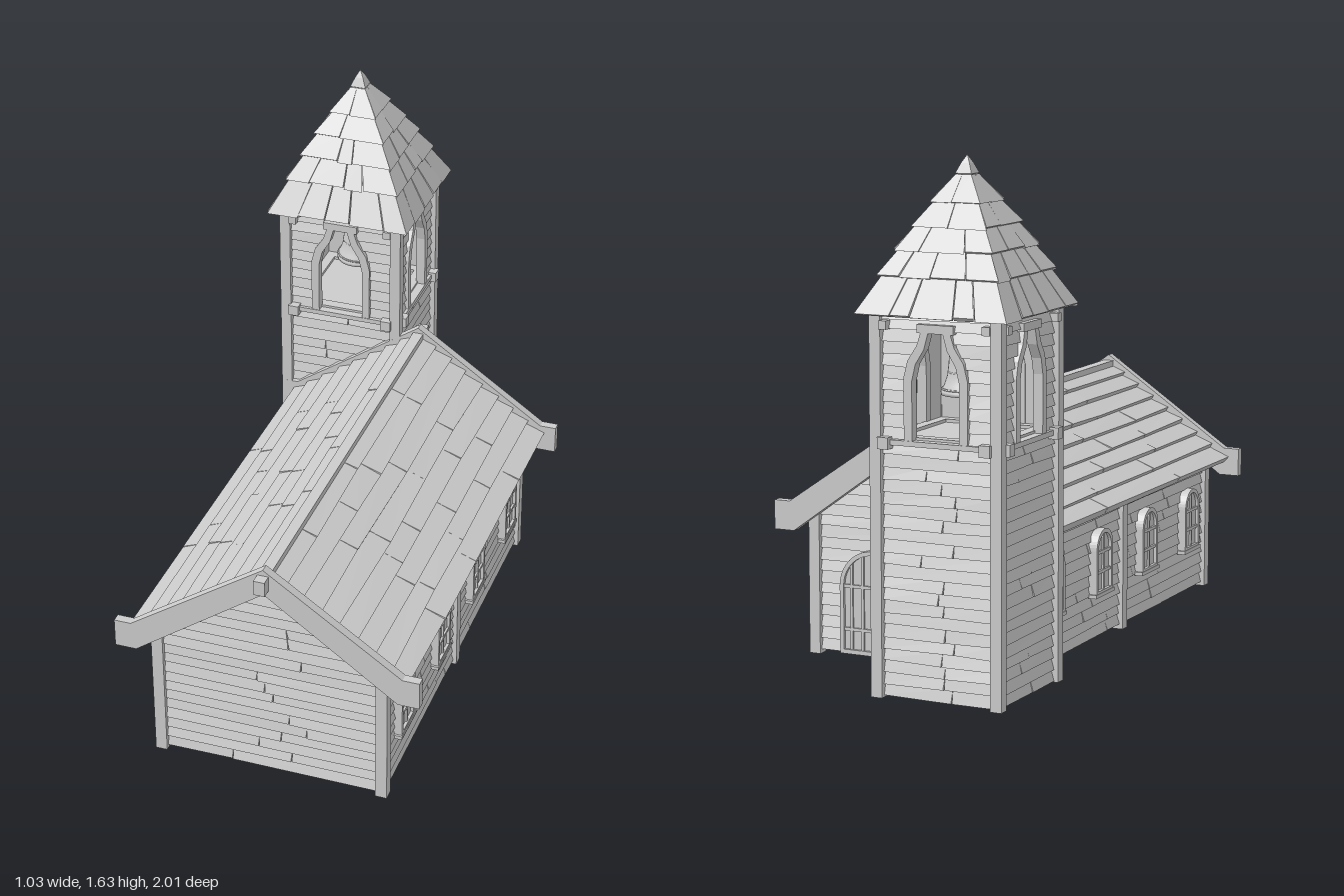
import * as THREE from 'three';
import { mergeGeometries } from 'three/addons/utils/BufferGeometryUtils.js';

const material = new THREE.MeshStandardMaterial({ color: 0xcccccc, flatShading: true, side: THREE.DoubleSide });
const smooth = new THREE.MeshStandardMaterial({ color: 0xcccccc, side: THREE.DoubleSide });
const lerp = THREE.MathUtils.lerp;

let seed = 7;
const rand = () => (seed = (seed * 16807) % 2147483647) / 2147483647;
const jitter = (s) => (rand() - 0.5) * 2 * s;

function add(parent, name, geometry, x = 0, y = 0, z = 0, mat = material) {
  const mesh = new THREE.Mesh(geometry, mat);
  mesh.name = name;
  mesh.position.set(x, y, z);
  parent.add(mesh);
  return mesh;
}
const box = (parent, name, w, h, d, x, y, z) => add(parent, name, new THREE.BoxGeometry(w, h, d), x, y, z);

function subgroup(parent, name, rotationY = 0) {
  const g = new THREE.Group();
  g.name = name;
  g.rotation.y = rotationY;
  parent.add(g);
  return g;
}

// Six-sided block from front and back corners (each: bottom left, bottom right, top right, top left)
function block(front, back) {
  const c = [...front, ...back], pos = [];
  const quads = [[0, 1, 2, 3], [5, 4, 7, 6], [4, 0, 3, 7], [1, 5, 6, 2], [3, 2, 6, 7], [4, 5, 1, 0]];
  for (const [i, j, k, l] of quads) for (const v of [i, j, k, i, k, l]) pos.push(...c[v]);
  const g = new THREE.BufferGeometry();
  g.setAttribute('position', new THREE.Float32BufferAttribute(pos, 3));
  g.computeVertexNormals();
  return g;
}

// Overlapping boards in the local xy plane, facing +z; left and right give the ends at each height
function boards({ y0, y1, rows, left, right, piece = 0.45, thick = 0.014, wave = 0.003 }) {
  const parts = [], h = (y1 - y0) / rows;
  for (let r = 0; r < rows; r++) {
    const a = y0 + r * h, b = Math.min(a + h + 0.005, y1);
    const [l0, r0, l1, r1] = [left(a), right(a), left(b), right(b)];
    const n = Math.max(1, Math.round((r0 - l0) / piece + jitter(0.4)));
    const cuts = [0];
    for (let i = 1; i < n; i++) cuts.push((i + jitter(0.35)) / n);
    cuts.push(1);
    let e = jitter(wave);
    for (let i = 0; i < n; i++) {
      const [f, g] = [cuts[i], cuts[i + 1]];
      const e2 = jitter(wave), t = thick + jitter(0.002), gap = 0.002;
      const bl = lerp(l0, r0, f), br = lerp(l0, r0, g), tl = lerp(l1, r1, f), tr = lerp(l1, r1, g);
      parts.push(block(
        [[bl + gap, a + e, t], [br - gap, a + e2, t], [tr, b, 0.002], [tl, b, 0.002]],
        [[bl, a, -0.008], [br, a, -0.008], [tr, b, -0.008], [tl, b, -0.008]]));
      e = e2;
    }
  }
  return mergeGeometries(parts);
}

function arch(Type, hw, h) {
  const s = new Type();
  s.moveTo(-hw, 0);
  s.lineTo(hw, 0);
  s.lineTo(hw, h - hw);
  s.absarc(0, h - hw, hw, 0, Math.PI, false);
  s.lineTo(-hw, 0);
  return s;
}
const extrude = (shape, depth) => new THREE.ExtrudeGeometry(shape, { depth, bevelEnabled: false, curveSegments: 10 });

// Arched frame with a filled leaf and crossing bars
function archedPanel(parent, name, hw, h, x, y, z, uprights, rails) {
  const g = subgroup(parent, name);
  g.position.set(x, y, z);
  const frame = arch(THREE.Shape, hw, h);
  const hole = arch(THREE.Path, hw - 0.014, h - 0.028);
  frame.holes.push(new THREE.Path(hole.getPoints(10).map((p) => new THREE.Vector2(p.x, p.y + 0.014))));
  add(g, name + 'Frame', extrude(frame, 0.03), 0, 0, -0.005);
  add(g, name + 'Leaf', extrude(arch(THREE.Shape, hw - 0.008, h - 0.008), 0.02), 0, 0, -0.005);
  for (const u of uprights) {
    const top = h - hw + Math.sqrt(hw * hw - u * u) - 0.008;
    box(g, name + 'Upright', 0.009, top, 0.01, u, top / 2, 0.016);
  }
  for (const v of rails) box(g, name + 'Rail', hw * 2 - 0.02, 0.01, 0.01, 0, v, 0.017);
  return g;
}

function buildNave(root) {
  const nave = subgroup(root, 'nave');
  nave.position.set(0.015, 0, 0.195);
  const W = 0.375, L = 0.73, slope = 0.69, tilt = Math.atan(slope);

  for (const s of [1, -1]) {
    // Long wall with its windows
    const side = subgroup(nave, 'sideWall', s * Math.PI / 2);
    add(side, 'sideBoards', boards({ y0: 0.015, y1: 0.48, rows: 13, left: () => -L, right: () => L }), 0, 0, W - 0.012);
    for (const u of [-0.565, -0.19, 0.19, 0.565]) {
      archedPanel(side, 'window', 0.065, 0.215, u, 0.16, W, [0], [0.075, 0.14]);
      box(side, 'windowSill', 0.145, 0.012, 0.03, u, 0.16, W + 0.012);
    }
    for (const u of [-0.727, 0, 0.727]) box(side, 'wallPost', 0.038, 0.47, 0.038, u, 0.235, 0.37);

    // Roof slope of long overlapping planks
    const eave = subgroup(side, 'roofSlope');
    eave.position.set(0, 0.452, 0.45);
    eave.rotation.x = tilt - Math.PI / 2;
    add(eave, 'roofPlanks', boards({
      y0: 0, y1: 0.455 / Math.cos(tilt), rows: 8, left: () => -0.745, right: () => 0.745,
      piece: 0.4, thick: 0.02, wave: 0.005
    }));

    // Gable wall
    const end = subgroup(nave, 'gableEnd', s > 0 ? 0 : Math.PI);
    const half = (y) => Math.max(0.002, Math.min(W, (0.755 - y) / slope));
    add(end, 'gableBoards', boards({ y0: 0.015, y1: 0.75, rows: 20, left: (y) => -half(y), right: half }), 0, 0, L - 0.008);

    // Bargeboards with level, squared ends
    const right = [[0.445, 0.495], [0.5, 0.495], [0.5, 0.4], [0.43, 0.4]];
    const outline = [[0, 0.8], ...right, [0, 0.71], ...right.map(([x, y]) => [-x, y]).reverse()];
    add(end, 'bargeboard', extrude(new THREE.Shape(outline.map((p) => new THREE.Vector2(...p))), 0.03), 0, 0, 0.74);

    // Door in the back gable, beside the tower
    if (s < 0) archedPanel(end, 'door', 0.12, 0.34, -0.15, 0.015, L + 0.005, [-0.08, -0.04, 0, 0.04, 0.08], [0.08, 0.22]);
  }
  box(nave, 'ridgePole', 0.036, 0.05, 1.61, 0, 0.755, 0);
}

// Half of the belfry opening: [half width, height]
const outerCurve = [[0.105, 0.8], [0.105, 0.99], [0.092, 1.04], [0.062, 1.085], [0.047, 1.13]];
const innerCurve = [[0.078, 0.8], [0.078, 0.98], [0.066, 1.03], [0.038, 1.075], [0.024, 1.125]];

function openingHalf(y) {
  const c = outerCurve;
  for (let i = 1; i < c.length; i++) {
    if (y <= c[i][1]) return lerp(c[i - 1][0], c[i][0], Math.max(0, (y - c[i - 1][1]) / (c[i][1] - c[i - 1][1]))) - 0.012;
  }
  return 0.035;
}

function belfryFrame() {
  const mirror = (pts) => pts.map(([x, y]) => [-x, y]);
  const pts = [...mirror(outerCurve), ...[...outerCurve].reverse(), ...innerCurve, ...mirror([...innerCurve].reverse())];
  return extrude(new THREE.Shape(pts.map((p) => new THREE.Vector2(...p))), 0.032);
}

function buildTower(root) {
  const tower = subgroup(root, 'tower');
  tower.position.set(-0.27, 0, -0.763);
  const W = 0.195;

  // [height, half width] of the lower edge of each shingle course
  const courses = [[1.175, 0.25], [1.285, 0.2], [1.36, 0.162], [1.43, 0.125], [1.5, 0.083], [1.565, 0.044]];

  for (let k = 0; k < 4; k++) {
    const side = subgroup(tower, 'towerSide', k * Math.PI / 2);
    const lo = () => -W, hi = () => W;
    add(side, 'lowerBoards', boards({ y0: 0.015, y1: 0.79, rows: 21, left: lo, right: hi, piece: 0.25 }), 0, 0, W - 0.005);
    add(side, 'belfryBoardsLeft', boards({ y0: 0.8, y1: 1.13, rows: 9, left: lo, right: (y) => -openingHalf(y) }), 0, 0, W - 0.005);
    add(side, 'belfryBoardsRight', boards({ y0: 0.8, y1: 1.13, rows: 9, left: openingHalf, right: hi }), 0, 0, W - 0.005);
    add(side, 'topBoards', boards({ y0: 1.13, y1: 1.19, rows: 2, left: lo, right: hi }), 0, 0, W - 0.005);
    add(side, 'belfryFrame', belfryFrame(), 0, 0, W - 0.015);
    box(side, 'lintel', 0.12, 0.026, 0.036, 0, 1.137, W + 0.002);
    box(side, 'sill', 0.39, 0.016, 0.03, 0, 0.792, W + 0.004);
    box(side, 'cornerPost', 0.037, 1.175, 0.037, 0.199, 0.5975, 0.199);

    // Crossing beams whose ends poke through the walls
    box(side, 'floorBeam', 0.036, 0.036, 0.46, 0.168, 0.79, 0);
    box(side, 'upperBeam', 0.026, 0.026, 0.448, 0.17, 1.142, 0);

    // Shingle courses
    const shingles = [];
    for (let i = 0; i < courses.length - 1; i++) {
      const [y0, r0] = courses[i], [yNext, rNext] = courses[i + 1];
      const y1 = yNext + 0.012, r1 = rNext - 0.018, n = Math.max(2, 5 - i);
      const cuts = [-1];
      for (let c = 1; c < n; c++) cuts.push(-1 + (2 * (c + jitter(0.28))) / n);
      cuts.push(1);
      for (let c = 0; c < n; c++) {
        const f = cuts[c] + (c ? 0.008 : 0), g = cuts[c + 1] - (c < n - 1 ? 0.008 : 0);
        const ring = (d, drop) => [[f * (r0 - d), y0 + drop, r0 - d], [g * (r0 - d), y0 + drop, r0 - d],
          [g * (r1 - d), y1, r1 - d], [f * (r1 - d), y1, r1 - d]];
        shingles.push(block(ring(0, jitter(0.006)), ring(0.018, -0.006)));
      }
    }
    add(side, 'shingles', mergeGeometries(shingles));
  }

  // Solid core beneath the shingles
  const core = add(tower, 'roofCore', new THREE.CylinderGeometry(0.02, 0.215 * Math.SQRT2, 0.38, 4), 0, 1.375, 0);
  core.rotation.y = Math.PI / 4;

  // Pointed cap
  const profile = [[0.032, 1.55], [0.026, 1.575], [0.038, 1.58], [0.02, 1.61], [0, 1.635]];
  const cap = add(tower, 'roofCap', new THREE.LatheGeometry(profile.map((p) => new THREE.Vector2(...p)), 4));
  cap.rotation.y = Math.PI / 4;

  box(tower, 'belfryFloor', 0.385, 0.016, 0.385, 0, 0.79, 0);

  // Bell, hanger and clapper
  const bell = subgroup(tower, 'bell');
  const bellProfile = [[0.068, 0.915], [0.08, 0.917], [0.081, 0.927], [0.07, 0.948], [0.061, 0.975], [0.057, 1.01],
    [0.055, 1.045], [0.048, 1.068], [0.03, 1.083], [0, 1.087]];
  add(bell, 'bellBody', new THREE.LatheGeometry(bellProfile.map((p) => new THREE.Vector2(...p)), 28), 0, 0, 0, smooth);
  for (const [r, y] of [[0.077, 0.935], [0.058, 0.985], [0.056, 1.045]]) {
    add(bell, 'bellBand', new THREE.TorusGeometry(r, 0.003, 6, 28), 0, y, 0, smooth).rotation.x = Math.PI / 2;
  }
  add(bell, 'bellCrown', new THREE.CylinderGeometry(0.016, 0.024, 0.06, 12), 0, 1.11, 0, smooth);
  add(bell, 'clapperRod', new THREE.CylinderGeometry(0.006, 0.006, 0.17, 8), 0, 0.985, 0, smooth);
  add(bell, 'clapper', new THREE.SphereGeometry(0.02, 14, 10), 0, 0.9, 0, smooth);
  box(bell, 'bellBeam', 0.39, 0.032, 0.032, 0, 1.145, 0);
}

export function createModel() {
  seed = 7;
  const root = new THREE.Group();
  root.name = 'chapel';
  buildNave(root);
  buildTower(root);
  return root;
}
